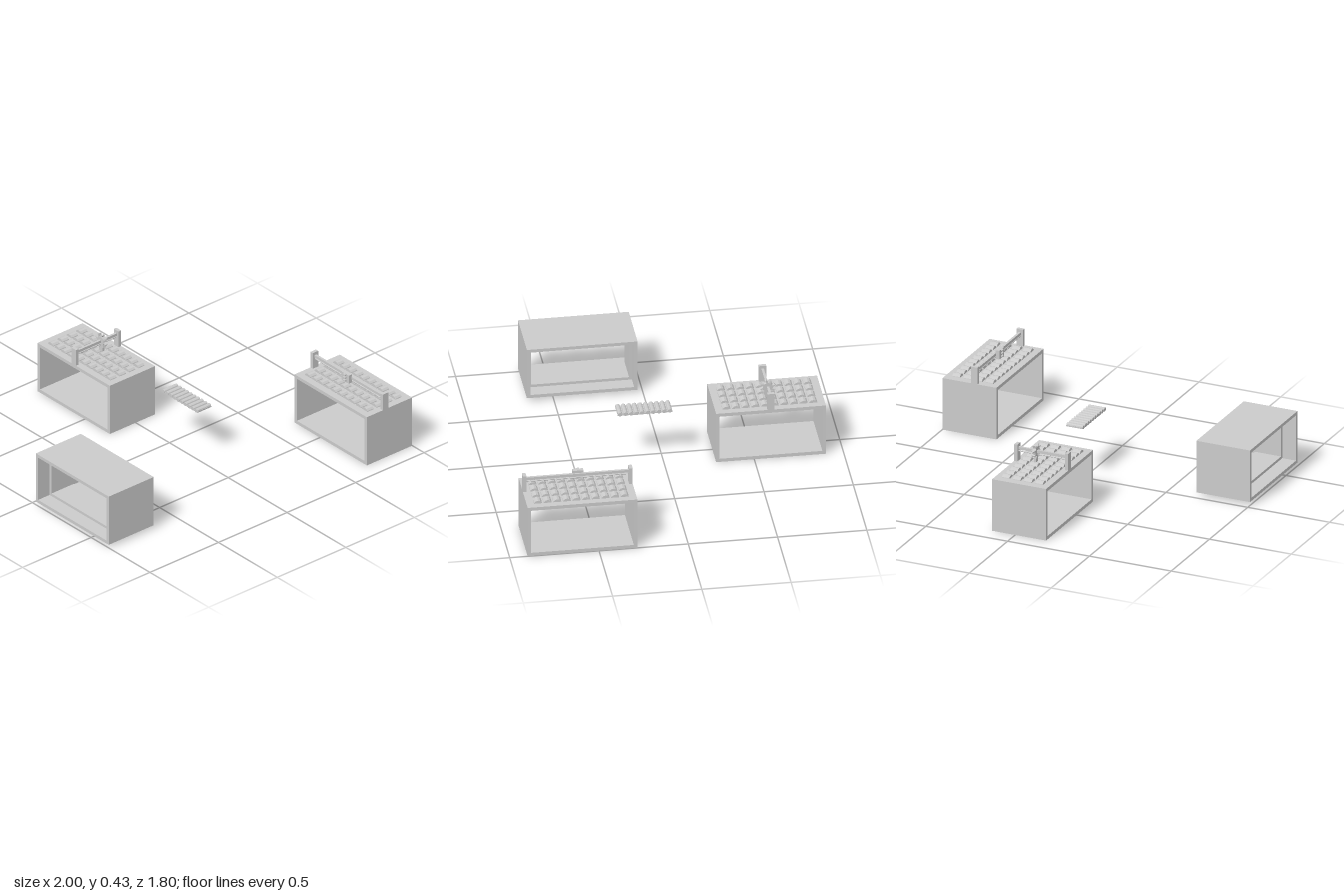
import * as THREE from 'three';

const mat = new THREE.MeshStandardMaterial({ color: 0xcccccc, flatShading: true });

function add(parent, name, geo, x = 0, y = 0, z = 0) {
  const mesh = new THREE.Mesh(geo, mat);
  mesh.name = name;
  mesh.position.set(x, y, z);
  parent.add(mesh);
  return mesh;
}

const box = (parent, name, w, h, d, x, y, z) => add(parent, name, new THREE.BoxGeometry(w, h, d), x, y, z);

// Cylinder lying along x
function rodX(r, length, sides = 12) {
  return new THREE.CylinderGeometry(r, r, length, sides).rotateZ(Math.PI / 2);
}

// Rectangular sleeve open along x, standing on y = 0
function sleeve(parent, name, width, height, depth, wall) {
  const d = depth / 2;
  const shape = new THREE.Shape([[-d, 0], [d, 0], [d, height], [-d, height]].map(p => new THREE.Vector2(...p)));
  const e = d - wall;
  shape.holes.push(new THREE.Path([[-e, wall], [-e, height - wall], [e, height - wall], [e, wall]].map(p => new THREE.Vector2(...p))));
  const geo = new THREE.ExtrudeGeometry(shape, { depth: width, bevelEnabled: false });
  geo.translate(0, 0, -width / 2).rotateY(Math.PI / 2);
  return add(parent, name, geo);
}

// Bench with a bed of four roller columns showing above and below the top
function rollerBench(name) {
  const bench = new THREE.Group();
  bench.name = name;
  sleeve(bench, 'benchFrame', 0.33, 0.31, 0.615, 0.02);
  const rollers = new THREE.Group();
  rollers.name = 'rollers';
  bench.add(rollers);
  const geo = rodX(0.025, 0.046);
  for (let c = 0; c < 4; c++) {
    for (let r = 0; r < 10; r++) {
      add(rollers, 'roller', geo, (c - 1.5) * 0.068, 0.302, (r - 4.5) * 0.054);
    }
  }
  return bench;
}

// Gantry spanning along x: two posts, a beam and a thin guide rod
function gantry(span) {
  const g = new THREE.Group();
  g.name = 'gantry';
  for (const s of [-1, 1]) box(g, 'gantryPost', 0.02, 0.1, 0.04, s * (span / 2 - 0.01), 0.36, 0);
  box(g, 'gantryBeam', span - 0.04, 0.016, 0.014, 0, 0.385, 0);
  add(g, 'guideRod', rodX(0.004, span - 0.04, 8), 0, 0.367, 0);
  return g;
}

// Thin toothed wheel turning about x
function toothedWheel(width) {
  const g = new THREE.Group();
  g.name = 'toothedWheel';
  add(g, 'wheelDisc', rodX(0.028, width, 16));
  for (let i = 0; i < 8; i++) {
    const a = (i + 0.3) * Math.PI / 4;
    const tooth = box(g, 'wheelTooth', width, 0.018, 0.008, 0, Math.cos(a) * 0.034, Math.sin(a) * 0.034);
    tooth.rotation.x = a + 0.3;
  }
  return g;
}

export function createModel() {
  const model = new THREE.Group();
  model.name = 'rollerWorkstations';

  // Open cabinet with a shorter inner sleeve
  const cabinet = new THREE.Group();
  cabinet.name = 'openCabinet';
  cabinet.position.set(-0.836, 0.02, 0.34);
  sleeve(cabinet, 'outerShell', 0.328, 0.31, 0.62, 0.019);
  sleeve(cabinet, 'innerLining', 0.16, 0.272, 0.582, 0.016).position.y = 0.019;
  model.add(cabinet);

  // Rear bench: gantry across the width
  const rear = rollerBench('rearBench');
  rear.position.set(-0.024, 0, -0.594);
  const rearGantry = gantry(0.33);
  const wheel = toothedWheel(0.02);
  wheel.position.set(0.04, 0.386, 0);
  rearGantry.add(wheel);
  box(rearGantry, 'carriage', 0.012, 0.06, 0.03, 0.04, 0.35, 0);
  rear.add(rearGantry);
  model.add(rear);

  // Front bench: gantry along the length
  const front = rollerBench('frontBench');
  front.position.set(0.834, 0, 0.592);
  const frontGantry = gantry(0.615);
  frontGantry.rotation.y = Math.PI / 2;
  frontGantry.position.x = -0.029;
  box(frontGantry, 'carriage', 0.06, 0.052, 0.024, 0.005, 0.382, -0.014);
  for (const y of [0.367, 0.385, 0.403]) box(frontGantry, 'carriageTooth', 0.018, 0.008, 0.012, 0.005, y, -0.03);
  front.add(frontGantry);
  model.add(front);

  // Loose slatted mat
  const slats = new THREE.Group();
  slats.name = 'slattedMat';
  slats.position.set(0.036, 0, 0.103);
  box(slats, 'matBase', 0.1, 0.007, 0.306, 0, 0.3155, 0);
  const slat = rodX(0.013, 0.1, 10);
  slat.scale(1, 0.85, 1);
  for (let i = 0; i < 10; i++) add(slats, 'slat', slat, 0, 0.3195, (i - 4.5) * 0.031);
  model.add(slats);

  return model;
}
